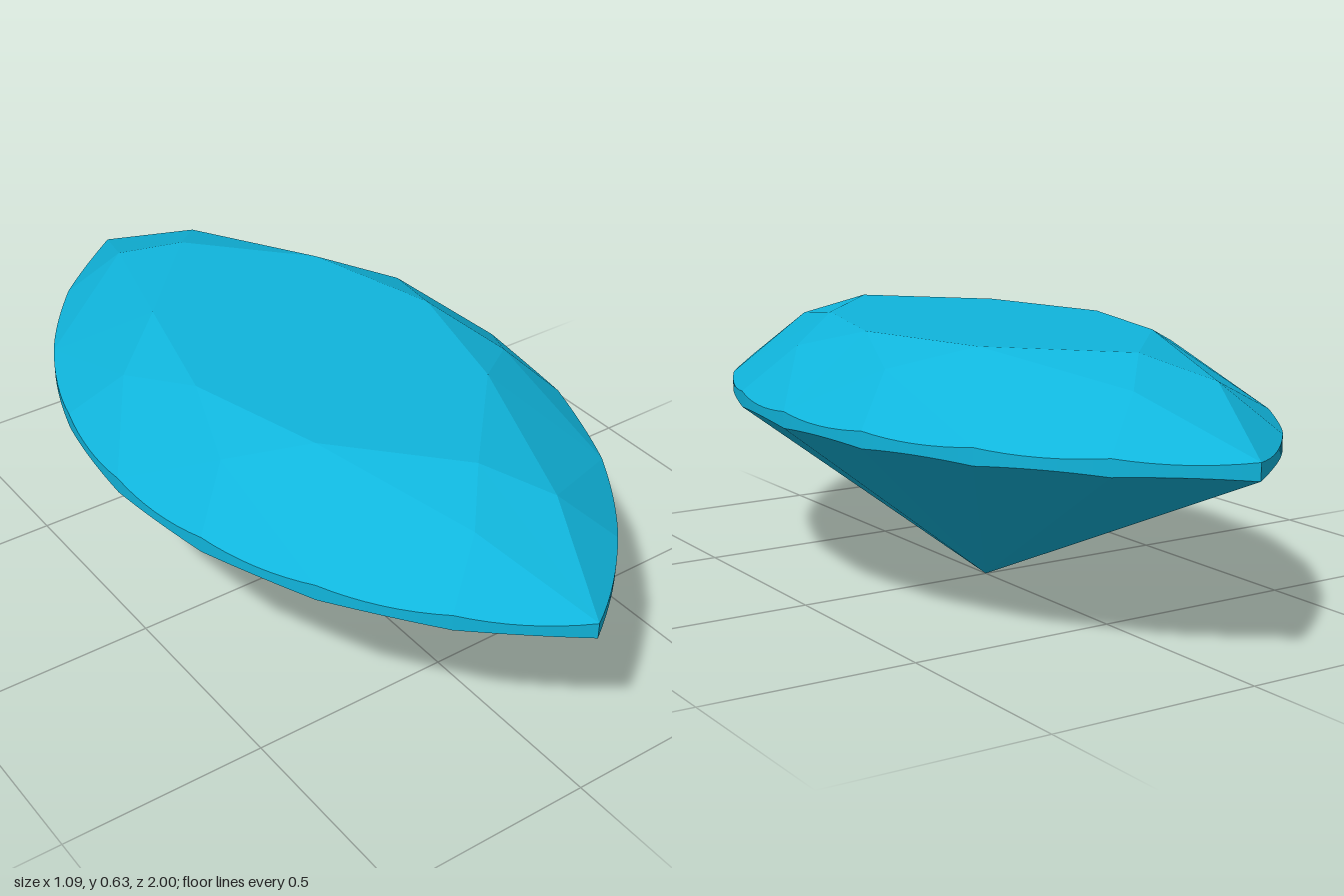
import * as THREE from 'three';

const TABLE_Y = 0.63, STAR_Y = 0.576, GIRDLE_TOP = 0.463, GIRDLE_BOTTOM = 0.424;
const HALF_WIDTH = 0.545, STEPS = 8; // STEPS: arc pieces per girdle facet
const R = (1 + HALF_WIDTH ** 2) / (2 * HALF_WIDTH), TIP = Math.asin(1 / R);
const CULET = new THREE.Vector3(0, 0, 0);
const CENTRE = new THREE.Vector3(0, 0.43, 0);

// Pointed oval outline: u runs 0..16 round the stone, 0 and 8 are the tips
function outline(u, y) {
  u = (u + 16) % 16;
  const s = u < 8 ? 1 : -1;
  const a = TIP * (1 - (u % 8) / 4);
  return new THREE.Vector3(s * (R * Math.cos(a) - R + HALF_WIDTH), y, s * R * Math.sin(a));
}

// Repeats a half ring of [x, z] corners by a half turn
function ring(half, y) {
  return [1, -1].flatMap(s => half.map(([x, z]) => new THREE.Vector3(s * x, y, s * z)));
}

// Girdle edge between two corners, cut by the flat facet that reaches apex
function scallop(apex, u, y) {
  const plane = new THREE.Plane().setFromCoplanarPoints(apex, outline(u, y), outline(u + 1, y));
  const n = plane.normal, pts = [];
  for (let i = 0; i <= STEPS; i++) {
    const p = outline(u + i / STEPS, 0);
    p.y = -(plane.constant + n.x * p.x + n.z * p.z) / n.y;
    pts.push(p);
  }
  return pts;
}

// Adds a fan of triangles, each turned to face outward
function addFan(out, apex, pts) {
  for (let i = 0; i < pts.length - 1; i++) {
    const t = new THREE.Triangle(apex, pts[i], pts[i + 1]);
    const n = t.getNormal(new THREE.Vector3());
    const outward = n.dot(t.getMidpoint(new THREE.Vector3()).sub(CENTRE)) > 0;
    out.push(...(outward ? [t.a, t.b, t.c] : [t.a, t.c, t.b]));
  }
}

export function createModel() {
  const group = new THREE.Group();
  group.name = 'marquiseGem';
  const material = new THREE.MeshStandardMaterial({ color: 0x10b5dc, flatShading: true });
  const addPart = (name, points) => {
    const geometry = new THREE.BufferGeometry().setFromPoints(points);
    geometry.computeVertexNormals();
    const mesh = new THREE.Mesh(geometry, material);
    mesh.name = name;
    group.add(mesh);
  };

  const top = ring([[0, 0.6], [0.24, 0.34], [0.33, 0], [0.24, -0.34]], TABLE_Y);
  const star = ring([[0.112, 0.73], [0.4, 0.21], [0.4, -0.21], [0.112, -0.73]], STAR_Y);

  // Flat table
  const table = [];
  addFan(table, new THREE.Vector3(0, TABLE_Y, 0), [...top, top[0]]);
  addPart('table', table);

  // Crown: star triangles, kites and upper girdle facets
  const crown = [];
  for (let i = 0; i < 8; i++) {
    addFan(crown, star[i], [top[i], top[(i + 1) % 8]]);
    addFan(crown, top[i], [star[(i + 7) % 8], outline(2 * i, GIRDLE_TOP), star[i]]);
    for (const u of [2 * i, 2 * i + 1]) addFan(crown, star[i], scallop(star[i], u, GIRDLE_TOP));
  }
  addPart('crown', crown);

  // Girdle band and pavilion facets meeting at the culet
  const girdle = [], pavilion = [];
  for (let u = 0; u < 16; u++) {
    const upper = scallop(star[u >> 1], u, GIRDLE_TOP);
    const lower = scallop(CULET, u, GIRDLE_BOTTOM);
    for (let i = 0; i < STEPS; i++) addFan(girdle, upper[i], [upper[i + 1], lower[i + 1], lower[i]]);
    addFan(pavilion, CULET, lower);
  }
  addPart('girdle', girdle);
  addPart('pavilion', pavilion);
  return group;
}
